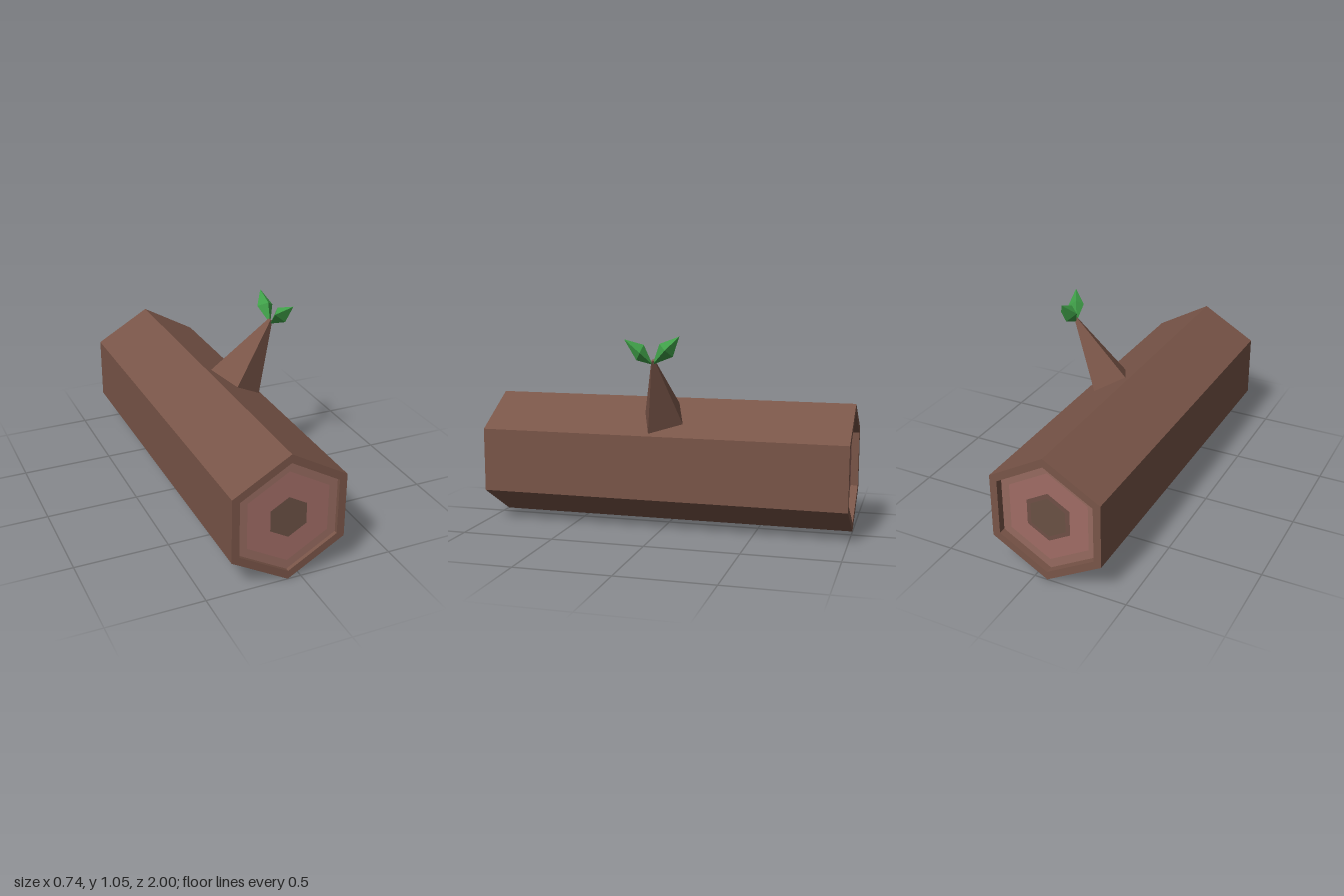
import * as THREE from 'three';

const CX = -0.07, CY = 0.346;
const mat = (color) => new THREE.MeshStandardMaterial({ color, flatShading: true, roughness: 1 });

function add(parent, name, geometry, material) {
  const mesh = new THREE.Mesh(geometry, material);
  mesh.name = name;
  parent.add(mesh);
  return mesh;
}

// Hexagon outline with a corner at the top
function hexPoints(r) {
  return Array.from({ length: 6 }, (_, i) => {
    const a = Math.PI / 2 + (i * Math.PI) / 3;
    return new THREE.Vector2(r * Math.cos(a), r * Math.sin(a));
  });
}

// Skin between two four-cornered sections, closed at both ends; a section may be a single point.
// Corners run counter-clockwise when looking from the far end back to the near end.
function loft(sections) {
  const pos = [];
  const tri = (a, b, c) => pos.push(...a, ...b, ...c);
  for (let s = 0; s < sections.length - 1; s++) {
    const lo = sections[s], hi = sections[s + 1];
    for (let i = 0; i < 4; i++) {
      const j = (i + 1) % 4;
      if (lo.length > 1) tri(lo[i], lo[j], hi[j % hi.length]);
      if (hi.length > 1) tri(lo[i % lo.length], hi[j], hi[i]);
      else if (lo.length > 1) continue;
    }
  }
  const last = sections[sections.length - 1];
  if (last.length === 4) {
    tri(last[0], last[1], last[2]);
    tri(last[0], last[2], last[3]);
  }
  const g = new THREE.BufferGeometry();
  g.setAttribute('position', new THREE.Float32BufferAttribute(pos, 3));
  g.computeVertexNormals();
  return g;
}

export function createModel() {
  const model = new THREE.Group();
  model.name = 'log';
  const bark = mat(0x795548);
  const sapwood = mat(0x966a5f);
  const heartwood = mat(0xa06c65);
  const coreRing = mat(0x6f5046);
  const core = mat(0x6a5144);
  const leaf = mat(0x3f9f48);

  // Bark shell
  const trunk = new THREE.Group();
  trunk.name = 'trunk';
  trunk.position.set(CX, CY, 0);
  model.add(trunk);
  const outline = new THREE.Shape(hexPoints(0.346));
  outline.holes.push(new THREE.Path(hexPoints(0.3).reverse()));
  const shell = new THREE.ExtrudeGeometry(outline, { depth: 2, bevelEnabled: false });
  add(trunk, 'bark', shell.translate(0, 0, -1), bark);

  // Growth rings, sunk into both ends
  for (const [name, side, depth, midRadius] of [['front', 1, 0.02, 0.11], ['back', -1, 0.04, 0.135]]) {
    const end = new THREE.Group();
    end.name = name + 'End';
    end.position.z = side * (1 - depth);
    if (side < 0) end.rotation.y = Math.PI;
    trunk.add(end);
    [['sapwood', 0.3, sapwood], ['heartwood', 0.247, heartwood],
      ['coreRing', midRadius, coreRing], ['core', 0.109, core]].forEach(([ring, r, m], i) => {
      add(end, ring, new THREE.CircleGeometry(r, 6, Math.PI / 2), m).position.z = i * 0.003;
    });
  }

  // Branch stub tapering to a narrow tip
  const base = [[-0.03, 0.665, -0.05], [0.055, 0.62, 0.12], [0.21, 0.53, 0.06], [0.13, 0.575, -0.11]];
  const mid = [0.091, 0.5975, 0.005], tip = [0.298, 0.93, 0.005];
  const top = base.map((p) => p.map((v, k) => tip[k] + (v - mid[k]) * 0.08));
  add(model, 'branch', loft([base, top]), bark);

  // Faceted leaves sprouting from the branch tip
  const root = [0.296, 0.907, 0.008];
  add(model, 'frontLeaf', loft([[root],
    [[0.288, 0.985, 0.08], [0.35, 0.933, 0.078], [0.37, 0.972, 0.055], [0.318, 1.01, 0.048]],
    [[0.366, 1.04, 0.138]]]), leaf);
  add(model, 'backLeaf', loft([[root],
    [[0.345, 0.985, -0.07], [0.298, 0.95, -0.1], [0.252, 0.99, -0.065], [0.3, 1.015, -0.03]],
    [[0.302, 1.055, -0.136]]]), leaf);
  return model;
}
